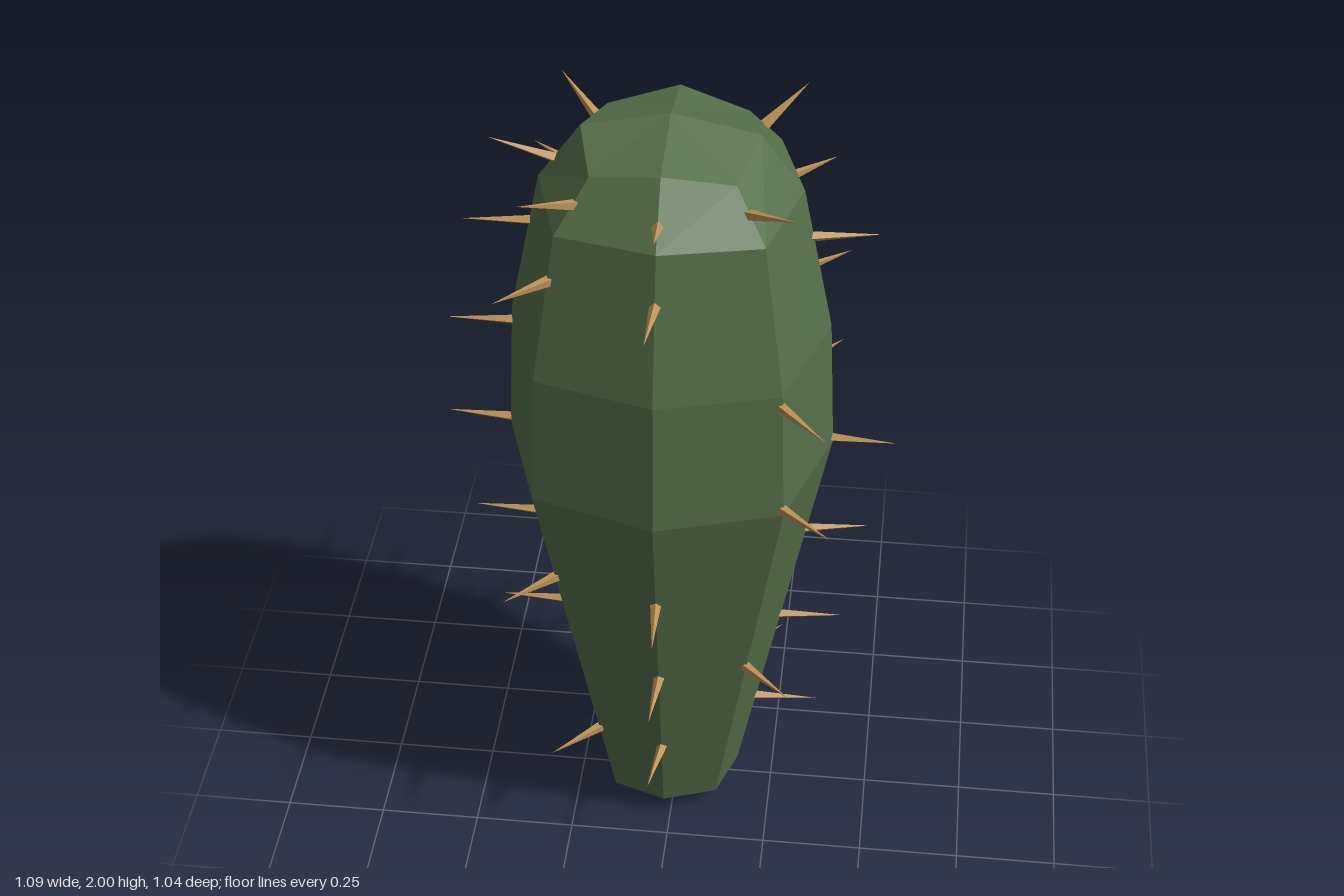
import * as THREE from 'three';

const CX = -0.017; // trunk axis sits slightly off centre
const SIDES = 8;

// Rings: [height at flat ridges, radius there, height at diagonal ridges, radius there]
const RINGS = [
  [0.015, 0.125, 0.02, 0.128],
  [0.05, 0.177, 0.05, 0.186],
  [1.125, 0.391, 1.12, 0.416],
  [1.46, 0.375, 1.45, 0.4],
  [1.82, 0.302, 1.81, 0.33],
  [1.957, 0.203, 1.922, 0.23],
];

// Eight-sided body lofted through the rings and closed with a point at each end
function bodyGeometry() {
  const pos = [], idx = [];
  for (const ring of RINGS) {
    for (let i = 0; i < SIDES; i++) {
      const a = i * Math.PI / 4, k = (i % 2) * 2;
      pos.push(CX + Math.sin(a) * ring[k + 1], ring[k], Math.cos(a) * ring[k + 1]);
    }
  }
  const bottom = RINGS.length * SIDES, top = bottom + 1, last = (RINGS.length - 1) * SIDES;
  pos.push(CX, 0.0, 0, CX, 2, 0);
  for (let i = 0; i < SIDES; i++) {
    const j = (i + 1) % SIDES;
    for (let r = 0; r < last; r += SIDES) {
      idx.push(r + i, r + j, r + SIDES + j, r + i, r + SIDES + j, r + SIDES + i);
    }
    idx.push(bottom, j, i, top, last + i, last + j);
  }
  const indexed = new THREE.BufferGeometry();
  indexed.setAttribute('position', new THREE.Float32BufferAttribute(pos, 3));
  indexed.setIndex(idx);
  const geo = indexed.toNonIndexed();
  geo.computeVertexNormals();
  return geo;
}

// Ridge radius at a height
function ridgeRadius(y, diagonal) {
  const k = diagonal ? 2 : 0;
  for (let r = 1; r < RINGS.length; r++) {
    const lo = RINGS[r - 1], hi = RINGS[r];
    if (y <= hi[k]) return THREE.MathUtils.mapLinear(y, lo[k], hi[k], lo[k + 1], hi[k + 1]);
  }
  return RINGS[RINGS.length - 1][k + 1];
}

export function createModel() {
  const group = new THREE.Group();
  const green = new THREE.MeshStandardMaterial({ color: 0x566f4a, flatShading: true });
  green.name = 'cactusGreen';
  const tan = new THREE.MeshStandardMaterial({ color: 0xbd9257, flatShading: true });
  tan.name = 'spineTan';

  const body = new THREE.Mesh(bodyGeometry(), green);
  body.name = 'body';
  group.add(body);

  // Spine rows from bottom to top; each ridge, from the front round through +x, lists the rows it carries
  const rows = [0.28, 0.565, 0.85, 1.135, 1.42, 1.7, 1.87];
  const ridges = ['1110011', '0101101', '1111010', '1111111', '1111100', '1001011', '0111111', '1010011'];
  const spineGeo = new THREE.ConeGeometry(0.014, 0.17, 4);
  spineGeo.translate(0, 0.07, 0); // base sunk a little into the body
  const spines = new THREE.Group();
  spines.name = 'spines';
  const up = new THREE.Vector3(0, 1, 0);
  let seed = 7;
  const jitter = (amount) => {
    seed = (seed * 16807) % 2147483647;
    return (seed / 2147483647 * 2 - 1) * amount;
  };

  ridges.forEach((mask, i) => {
    rows.forEach((y, r) => {
      if (mask[r] !== '1') return;
      const a = i * Math.PI / 4;
      const radius = ridgeRadius(y, i % 2 === 1);
      const heading = a + jitter(0.12);
      const tilt = r === 6 ? 0.33 : 0.02 + jitter(0.05);
      const dir = new THREE.Vector3(
        Math.sin(heading) * Math.cos(tilt), Math.sin(tilt), Math.cos(heading) * Math.cos(tilt));
      const spine = new THREE.Mesh(spineGeo, tan);
      spine.name = 'spine';
      spine.position.set(CX + Math.sin(a) * radius, y, Math.cos(a) * radius);
      spine.quaternion.setFromUnitVectors(up, dir);
      spines.add(spine);
    });
  });
  group.add(spines);
  return group;
}
